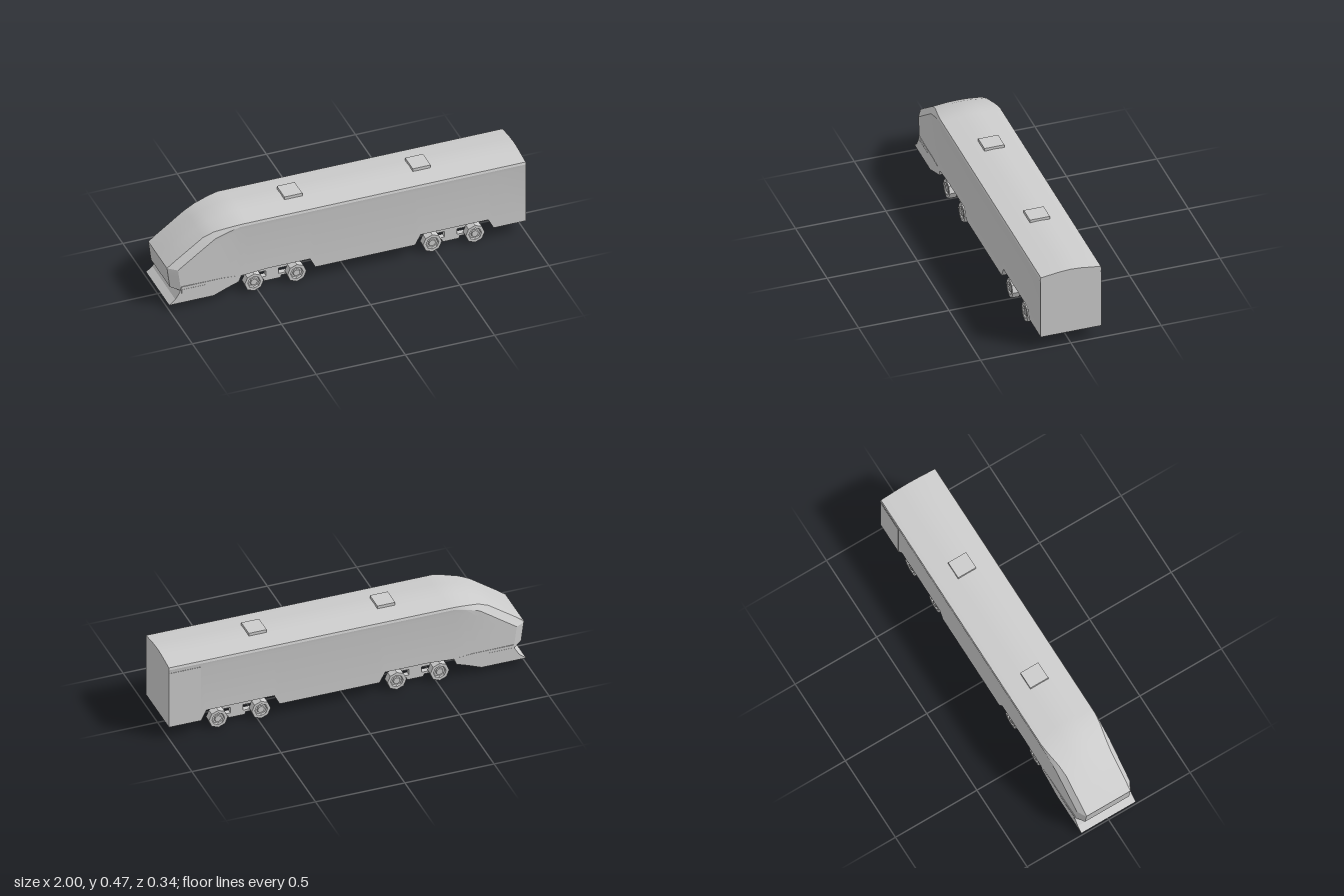
import * as THREE from 'three';
import { toCreasedNormals } from 'three/addons/utils/BufferGeometryUtils.js';

const grey = new THREE.MeshStandardMaterial({ color: 0xcccccc });
const flat = new THREE.MeshStandardMaterial({ color: 0xcccccc, flatShading: true });

function add(parent, name, geometry, material, x = 0, y = 0, z = 0) {
  const mesh = new THREE.Mesh(geometry, material);
  mesh.name = name;
  mesh.position.set(x, y, z);
  parent.add(mesh);
  return mesh;
}

// Side profile extruded across the width, centred on z = 0
function plate(points, depth, holes = []) {
  const shape = new THREE.Shape(points.map(p => new THREE.Vector2(...p)));
  for (const h of holes) shape.holes.push(new THREE.Path(h.map(p => new THREE.Vector2(...p))));
  return new THREE.ExtrudeGeometry(shape, { depth, bevelEnabled: false }).translate(0, 0, -depth / 2);
}

// Surface through equal-length closed loops, capped at both ends
function loft(loops) {
  const n = loops[0].length, pos = loops.flat(2), index = [];
  for (let i = 0; i < loops.length - 1; i++) {
    for (let j = 0; j < n; j++) {
      const a = i * n + j, b = i * n + (j + 1) % n;
      index.push(a, a + n, b, b, a + n, b + n);
    }
  }
  [0, loops.length - 1].forEach((i, end) => {
    const c = pos.length / 3;
    for (let k = 0; k < 3; k++) pos.push(loops[i].reduce((s, p) => s + p[k], 0) / n);
    for (let j = 0; j < n; j++) {
      const a = i * n + j, b = i * n + (j + 1) % n;
      index.push(...(end ? [c, b, a] : [c, a, b]));
    }
  });
  const g = new THREE.BufferGeometry();
  g.setAttribute('position', new THREE.Float32BufferAttribute(pos, 3));
  g.setIndex(index);
  return toCreasedNormals(g, 0.35);
}

// Full cross-section from its half: bottom edge, wall top, eave, shoulder, crown
function section(x, bottom, w, wallY, e, eaveY, s, shoulderY, topY, lean = 0) {
  const crownY = topY - (topY - shoulderY) * 0.17;
  const half = [[w, bottom], [w, wallY], [e, eaveY], [s, shoulderY], [0.055, crownY]];
  const at = ([z, y], m) => [x + lean * Math.max(0, 0.245 - y), y, z * m];
  return [...half.map(p => at(p, 1)), at([0, topY], 1), ...half.reverse().map(p => at(p, -1))];
}

function makeBody() {
  const loops = [
    // Tapered nose
    section(-1, 0.125, 0.135, 0.2, 0.135, 0.235, 0.134, 0.245, 0.245, 0.13),
    section(-0.95, 0.105, 0.163, 0.2, 0.163, 0.237, 0.135, 0.283, 0.285, 0.13),
    section(-0.8, 0.11, 0.165, 0.3, 0.165, 0.345, 0.136, 0.39, 0.4),
    section(-0.74, 0.113, 0.165, 0.345, 0.166, 0.388, 0.143, 0.417, 0.43),
    section(-0.66, 0.117, 0.166, 0.39, 0.168, 0.415, 0.158, 0.434, 0.452),
  ];
  // Straight carriage; the underside rises over each bogie
  const underside = [[-0.6, 0.12], [-0.56, 0.122], [-0.45, 0.13], [-0.21, 0.13], [-0.18, 0.072],
    [0.38, 0.072], [0.41, 0.13], [0.79, 0.13], [0.82, 0.072], [1, 0.072]];
  for (const [x, b] of underside) {
    loops.push(section(x, b, 0.167, 0.41, 0.17, 0.43, 0.166, 0.443, 0.461));
  }
  return loft(loops);
}

function makeBogie() {
  const bogie = new THREE.Group();
  // Half outline of the side frame, mirrored about its centre
  const half = [[0.045, 0.015], [0.05, 0.03], [0.1, 0.03], [0.1, 0.092], [0.055, 0.097], [0.05, 0.112], [0.075, 0.132]];
  const outline = [...half, ...half.map(([x, y]) => [-x, y]).reverse()];
  const slot = m => [[0.035, 0.043], [0.035, 0.077], [0.09, 0.077], [0.09, 0.043]].map(([x, y]) => [x * m, y]);
  const frame = plate(outline, 0.03, [slot(1), slot(-1)]);
  // Eight-sided wheel with a sunken face and raised hub
  const profile = [[0, -0.021], [0.053, -0.021], [0.053, 0.021], [0.036, 0.021], [0.031, 0.012],
    [0.022, 0.012], [0.019, 0.019], [0, 0.019]].map(p => new THREE.Vector2(...p));
  const wheel = new THREE.LatheGeometry(profile, 8).rotateX(Math.PI / 2);
  for (const side of [1, -1]) {
    add(bogie, 'bogieFrame', frame, flat, 0, 0, side * 0.098);
    for (const x of [-0.12, 0.12]) {
      const mesh = add(bogie, 'wheel', wheel, flat, x, 0.053, side * 0.137);
      if (side < 0) mesh.rotation.y = Math.PI;
    }
  }
  return bogie;
}

export function createModel() {
  const train = new THREE.Group();
  train.name = 'train';
  add(train, 'body', makeBody(), grey);

  // Front skirt with a forward-pointing lip
  add(train, 'frontSkirt', plate([[-1, 0.032], [-0.75, 0.032], [-0.68, 0.06], [-0.61, 0.085],
    [-0.595, 0.122], [-0.7, 0.13], [-0.93, 0.13], [-0.94, 0.1], [-0.965, 0.06]], 0.334), flat);
  // Narrow step along each side of the skirt
  for (const side of [1, -1]) {
    add(train, 'skirtStep', new THREE.BoxGeometry(0.14, 0.022, 0.004), flat, -0.86, 0.102, side * 0.166);
  }
  // Rear side panel
  add(train, 'rearPanel', new THREE.BoxGeometry(0.178, 0.335, 0.004), flat, 0.911, 0.2405, -0.167);

  // Roof hatches
  for (const x of [-0.26, 0.46]) {
    add(train, 'roofHatch', new THREE.BoxGeometry(0.1, 0.03, 0.11), flat, x, 0.46, 0);
  }
  // Bogies
  for (const [name, x] of [['frontBogie', -0.4], ['rearBogie', 0.6]]) {
    const bogie = makeBogie();
    bogie.name = name;
    bogie.position.x = x;
    train.add(bogie);
  }
  return train;
}
